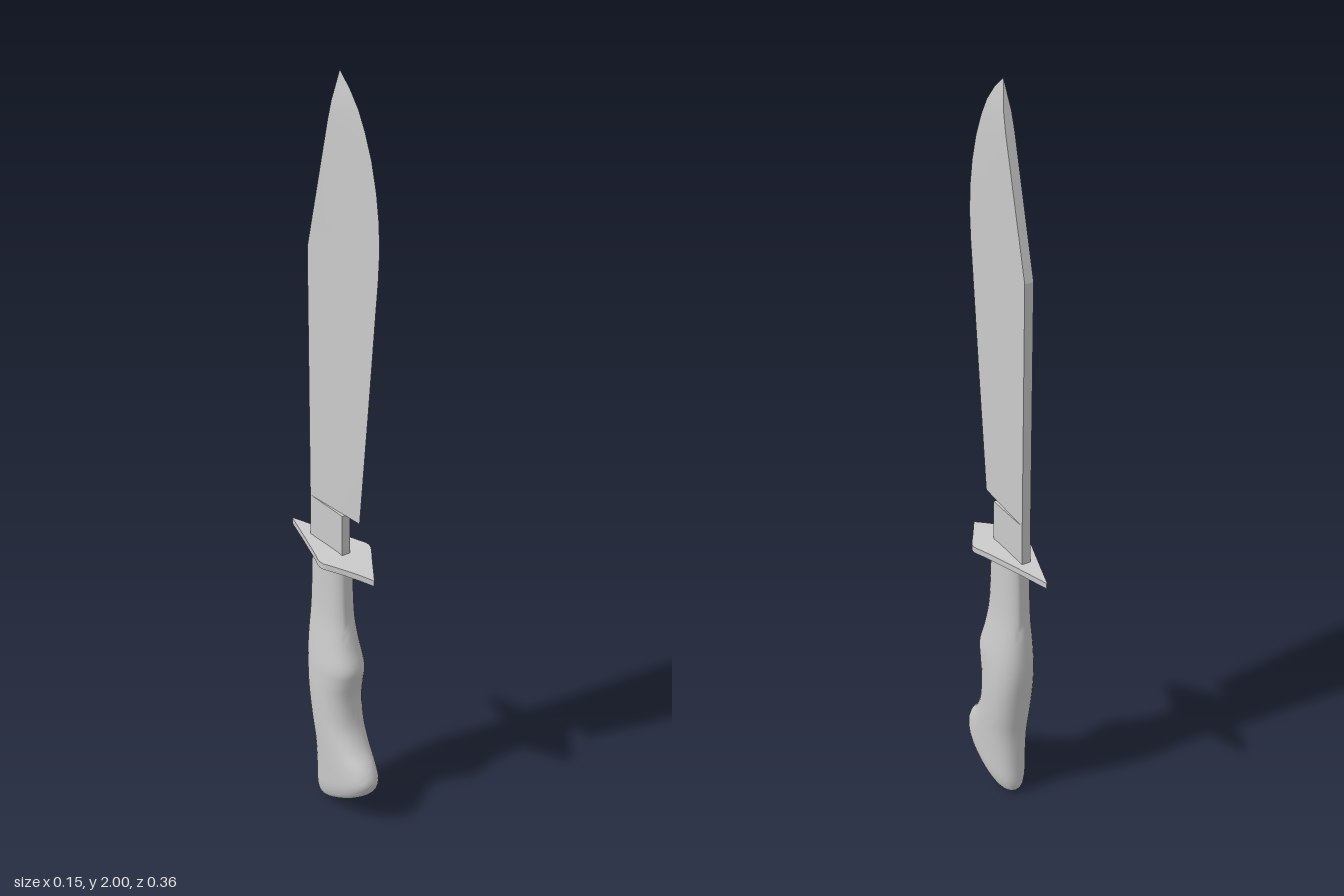
import * as THREE from 'three';
import { toCreasedNormals } from 'three/addons/utils/BufferGeometryUtils.js';

const material = new THREE.MeshStandardMaterial({ color: 0xcccccc });

// Skin a list of equal-length rings (counter-clockwise seen from the last ring), with end caps
function loft(rings, crease) {
  const n = rings[0].length;
  const index = [];
  for (let r = 0; r < rings.length - 1; r++) {
    for (let i = 0; i < n; i++) {
      const a = r * n + i, b = r * n + (i + 1) % n;
      index.push(a, b, b + n, a, b + n, a + n);
    }
  }
  const last = (rings.length - 1) * n;
  for (let i = 1; i < n - 1; i++) {
    index.push(0, i + 1, i, last, last + i, last + i + 1);
  }
  const geometry = new THREE.BufferGeometry();
  geometry.setAttribute('position', new THREE.Float32BufferAttribute(rings.flat(2), 3));
  geometry.setIndex(index);
  return toCreasedNormals(geometry, crease);
}

// Wedge blade: sharp edge towards +z, flat spine, clipped back to the tip
function bladeGeometry() {
  const rows = [ // y, edge z
    [0.875, 0.11], [1.2, 0.143], [1.46, 0.168], [1.54, 0.176], [1.61, 0.18], [1.68, 0.177],
    [1.75, 0.166], [1.82, 0.147], [1.88, 0.122], [1.925, 0.097], [1.965, 0.064], [2, 0.025],
  ];
  return loft(rows.map(([y, edge]) => {
    const spine = y <= 1.54
      ? THREE.MathUtils.mapLinear(y, 0.875, 1.54, -0.083, -0.09)
      : THREE.MathUtils.mapLinear(y, 1.54, 2, -0.09, 0.024);
    const t = 0.012 * Math.min(1, (2.002 - y) / 0.09);
    return [[0, y, edge], [t, y, spine], [-t, y, spine]];
  }), 0.2);
}

// Pointed guard plate, drooping towards the front
function guardGeometry() {
  const rows = [ // z, half width, middle y
    [-0.18, 0.001, 0.752], [-0.09, 0.03, 0.755], [0, 0.06, 0.757], [0.02, 0.067, 0.757],
    [0.035, 0.073, 0.757], [0.048, 0.075, 0.756], [0.06, 0.072, 0.755], [0.075, 0.063, 0.754],
    [0.11, 0.04, 0.749], [0.14, 0.021, 0.744], [0.172, 0.001, 0.737],
  ];
  return loft(rows.map(([z, w, y]) => {
    const lo = y - 0.008, hi = y + 0.008;
    return [[-w, lo, z], [w, lo, z], [w, hi, z], [-w, hi, z]];
  }), 0.5);
}

// Contoured grip: rounded sections spanning from a front point to a back point
function handleGeometry() {
  const rows = [ // front z, front y, back z, back y, half width
    [0.065, 0.034, 0.055, 0.03, 0.003], [0.125, 0.068, -0.01, 0.002, 0.03],
    [0.162, 0.1, -0.036, 0.008, 0.045], [0.175, 0.135, -0.045, 0.035, 0.052],
    [0.16, 0.17, -0.044, 0.1, 0.054], [0.125, 0.21, -0.045, 0.19, 0.056],
    [0.094, 0.27, -0.055, 0.26, 0.058], [0.086, 0.35, -0.07, 0.35, 0.059],
    [0.096, 0.4, -0.077, 0.4, 0.058], [0.104, 0.44, -0.08, 0.44, 0.056],
    [0.086, 0.5, -0.08, 0.5, 0.049], [0.07, 0.57, -0.076, 0.57, 0.041],
    [0.064, 0.65, -0.073, 0.65, 0.038], [0.06, 0.75, -0.07, 0.75, 0.037],
  ];
  const curve = (pick) => new THREE.CatmullRomCurve3(rows.map(pick));
  const front = curve((r) => new THREE.Vector3(r[4], r[1], r[0]));
  const back = curve((r) => new THREE.Vector3(r[4], r[3], r[2]));
  const steps = 52, sides = 32;
  const soften = (v) => Math.sign(v) * Math.abs(v) ** 0.88;
  const rings = [];
  for (let s = 0; s <= steps; s++) {
    const f = front.getPoint(s / steps), b = back.getPoint(s / steps);
    const ring = [];
    for (let i = 0; i < sides; i++) {
      const a = (i / sides) * Math.PI * 2;
      const k = (1 + soften(Math.cos(a))) / 2;
      ring.push([
        f.x * soften(Math.sin(a)),
        THREE.MathUtils.lerp(b.y, f.y, k),
        THREE.MathUtils.lerp(b.z, f.z, k),
      ]);
    }
    rings.push(ring);
  }
  return loft(rings, 0.9);
}

export function createModel() {
  const model = new THREE.Group();
  model.name = 'knife';
  const add = (name, geometry) => {
    const mesh = new THREE.Mesh(geometry, material);
    mesh.name = name;
    model.add(mesh);
    return mesh;
  };
  add('blade', bladeGeometry());
  // Flat neck between the guard and the cutting edge
  add('bladeNeck', new THREE.BoxGeometry(0.024, 0.125, 0.137)).position.set(0, 0.8125, -0.0145);
  add('guard', guardGeometry());
  add('handle', handleGeometry());
  return model;
}
